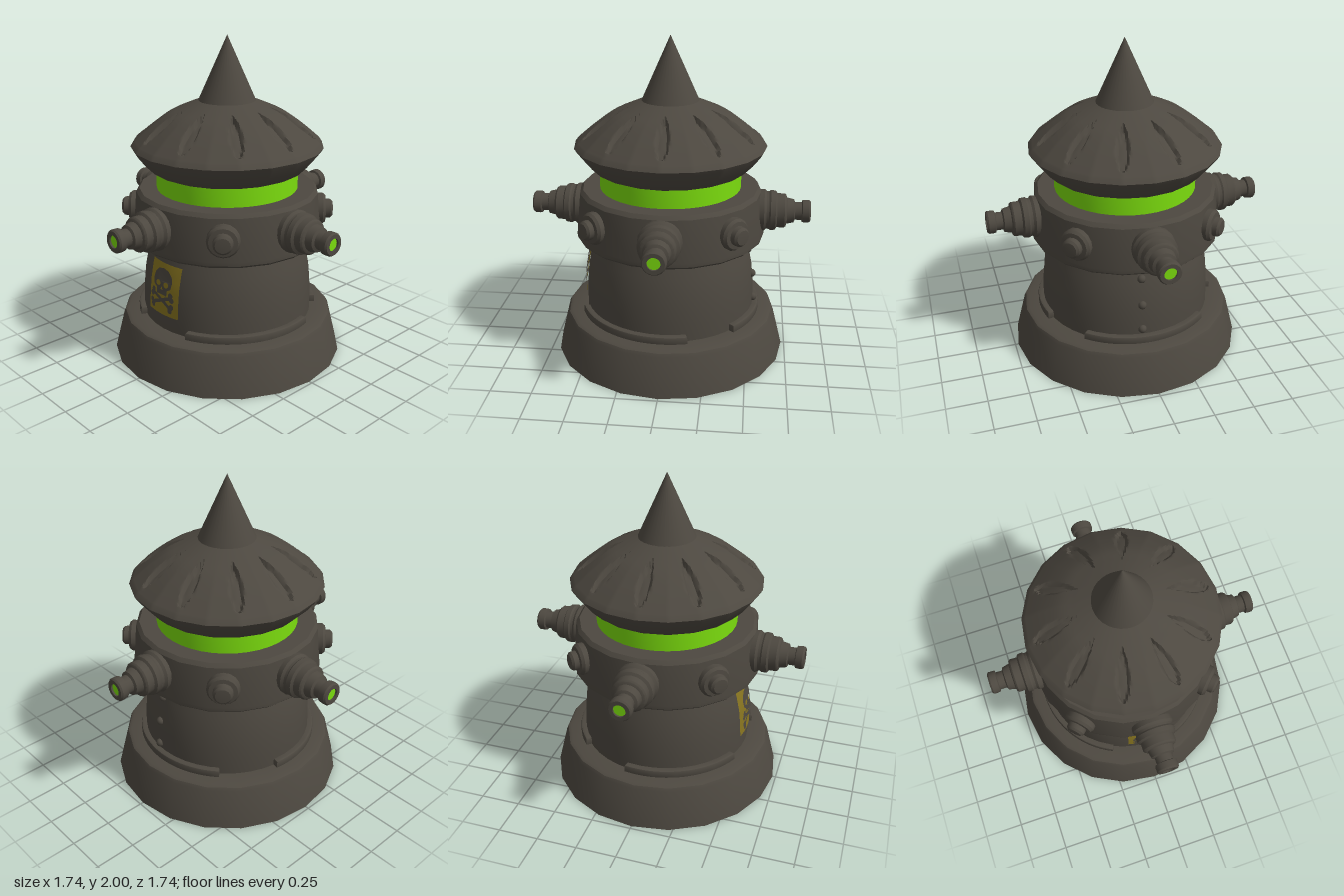
import * as THREE from 'three';
import { toCreasedNormals } from 'three/addons/utils/BufferGeometryUtils.js';

const mat = (name, color, side = THREE.FrontSide) => {
  const m = new THREE.MeshStandardMaterial({ color, side });
  m.name = name;
  return m;
};
const RAD = Math.PI / 180;
const vecs = pts => pts.map(([x, y]) => new THREE.Vector2(x, y));
const lathe = (pts, sides) => toCreasedNormals(new THREE.LatheGeometry(vecs(pts), sides), 0.6);

// Body wall: radius against height, shared by the body and everything fixed on it
const WALL = [[0.535, 0.25], [0.535, 0.37], [0.53, 0.46], [0.52, 0.56], [0.5, 0.66], [0.47, 0.77]];
function wallRadius(y) {
  for (let i = 1; i < WALL.length; i++) {
    const [r0, y0] = WALL[i - 1], [r1, y1] = WALL[i];
    if (y <= y1) return r0 + (r1 - r0) * (y - y0) / (y1 - y0);
  }
  return 0.47;
}

// Lays a flat geometry in x, y onto the front of the body wall
function wrapOnWall(geo, gap) {
  const p = geo.attributes.position;
  for (let i = 0; i < p.count; i++) {
    const x = p.getX(i), r = wallRadius(p.getY(i)) + gap;
    p.setZ(i, Math.sqrt(r * r - x * x));
  }
  geo.computeVertexNormals();
  return geo;
}

// Roof with a 20-sided outline and ten teardrop flutes pressed into the slope
function roofGeometry() {
  const slope = new THREE.SplineCurve(vecs([[0.572, 1.368], [0.47, 1.455], [0.365, 1.53], [0.27, 1.575], [0.16, 1.62]]));
  const profile = vecs([[0.4, 1.19], [0.44, 1.19], [0.475, 1.205], [0.53, 1.26], [0.575, 1.318], [0.59, 1.343]])
    .concat(slope.getPoints(30));
  const geo = new THREE.LatheGeometry(profile, 240);
  const p = geo.attributes.position;
  const step = 36 * RAD, facet = 18 * RAD;
  for (let i = 0; i < p.count; i++) {
    const x = p.getX(i), y = p.getY(i), z = p.getZ(i);
    const r = Math.hypot(x, z), a = Math.atan2(z, x);
    const off = a - Math.round(a / step) * step;
    const u = (r - 0.27) / 0.26;
    if (y > 1.37 && u > 0 && u < 1) {
      const w = 0.1 * u * Math.sqrt(1 - u);
      const d = 1 - (r * off / w) ** 2;
      if (d > 0) p.setY(i, y - 0.035 * Math.min(1, 1.6 * d));
    }
    const f = a - (Math.floor(a / facet) + 0.5) * facet;
    const k = 1 + (Math.cos(facet / 2) / Math.cos(f) - 1) * THREE.MathUtils.clamp((r - 0.2) / 0.3, 0, 1);
    p.setX(i, x * k);
    p.setZ(i, z * k);
  }
  return toCreasedNormals(geo, 0.7);
}

// Curved foot clamp between two angles measured from the front
function clampGeometry(from, to) {
  const a = (from - 90) * RAD, b = (to - 90) * RAD;
  const s = new THREE.Shape();
  s.absarc(0, 0, 0.56, a, b, false);
  s.absarc(0, 0, 0.5, b, a, true);
  const geo = new THREE.ExtrudeGeometry(s, {
    depth: 0.045, curveSegments: 10, bevelThickness: 0.01, bevelSize: 0.01, bevelSegments: 2
  });
  geo.rotateX(-Math.PI / 2).translate(0, 0.26, 0);
  return toCreasedNormals(geo, 0.6);
}

// Skull and crossed bones as flat shapes
function skullShapes() {
  const head = new THREE.Shape(vecs([
    [-0.045, 0.5], [0.045, 0.5], [0.047, 0.535], [0.075, 0.55], [0.083, 0.59], [0.075, 0.625], [0.045, 0.655],
    [0, 0.664], [-0.045, 0.655], [-0.075, 0.625], [-0.083, 0.59], [-0.075, 0.55], [-0.047, 0.535]]));
  for (const s of [-1, 1]) {
    const eye = new THREE.Path();
    eye.absellipse(s * 0.035, 0.567, 0.021, 0.017, 0, Math.PI * 2, true);
    head.holes.push(eye);
  }
  head.holes.push(new THREE.Path(vecs([[0, 0.553], [0.01, 0.532], [-0.01, 0.532]])));
  const shapes = [head];
  for (const s of [-1, 1]) {
    // one bone: a bar with two knobs at each end
    const turn = ([x, y]) => [x * 0.92 - s * y * 0.39, s * x * 0.39 + y * 0.92 + 0.463];
    shapes.push(new THREE.Shape(vecs([[-0.085, -0.011], [0.085, -0.011], [0.085, 0.011], [-0.085, 0.011]].map(turn))));
    for (const ex of [-0.09, 0.09]) for (const ey of [-0.014, 0.014]) {
      const [kx, ky] = turn([ex, ey]);
      const knob = new THREE.Shape();
      knob.absarc(kx, ky, 0.018, 0, Math.PI * 2, false);
      shapes.push(knob);
    }
  }
  return shapes;
}

export function createModel() {
  const model = new THREE.Group();
  const metal = mat('dark metal', 0x4d4840, THREE.DoubleSide);
  const green = mat('glowing green', 0x7bdc0e);
  const yellow = mat('warning yellow', 0x887520);
  const add = (name, geo, material, parent = model) => {
    const m = new THREE.Mesh(geo, material);
    m.name = name;
    parent.add(m);
    return m;
  };

  // Main stack, bottom to top
  add('base', lathe([[0.73, 0], [0.67, 0.24], [0.66, 0.26], [0.64, 0.27], [0.52, 0.27]], 20), metal);
  add('body', lathe(WALL, 40), metal);
  add('collar', lathe([[0.44, 0.76], [0.572, 0.76], [0.588, 0.775], [0.59, 0.8], [0.565, 1.055], [0.545, 1.078], [0.42, 1.078]], 20), metal);
  add('glowBand', lathe([[0.438, 1.06], [0.438, 1.22]], 40), green);
  add('roof', roofGeometry(), metal);
  add('spike', lathe([[0.175, 1.612], [0.001, 2]], 32), metal);

  // Foot clamps
  for (const [from, to] of [[22, 105], [139, 221], [261, 334]]) {
    add('footClamp', clampGeometry(from, to), metal);
  }

  // Four stepped nozzles with a glowing bore
  const nozzleGeo = lathe([
    [0.125, 0.52], [0.13, 0.585], [0.118, 0.6], [0.118, 0.615], [0.125, 0.625], [0.122, 0.655], [0.106, 0.665],
    [0.106, 0.71], [0.098, 0.72], [0.082, 0.725], [0.072, 0.768], [0.055, 0.775], [0.055, 0.815], [0.068, 0.82],
    [0.07, 0.835], [0.07, 0.86], [0.062, 0.87], [0.038, 0.87], [0.038, 0.84]], 20);
  nozzleGeo.rotateX(Math.PI / 2);
  const boreGeo = new THREE.CircleGeometry(0.039, 20).translate(0, 0, 0.858);
  // Four bolts between the nozzles
  const boltGeo = lathe([
    [0.098, 0.5], [0.098, 0.595], [0.085, 0.612], [0.06, 0.615], [0.058, 0.645], [0.045, 0.658], [0.0005, 0.662]], 16);
  boltGeo.rotateX(Math.PI / 2);
  for (let i = 0; i < 4; i++) {
    const nozzle = new THREE.Group();
    nozzle.name = 'nozzle';
    nozzle.position.y = 0.93;
    nozzle.rotation.y = i * Math.PI / 2;
    add('nozzleBarrel', nozzleGeo, metal, nozzle);
    add('nozzleGlow', boreGeo, green, nozzle);
    model.add(nozzle);
    const bolt = add('collarBolt', boltGeo, metal);
    bolt.position.y = 0.93;
    bolt.rotation.y = (i + 0.5) * Math.PI / 2;
  }

  // Column of rivets down the back
  const rivetGeo = new THREE.SphereGeometry(0.026, 12, 8);
  for (const y of [0.35, 0.515, 0.68]) {
    const a = 175 * RAD, r = wallRadius(y);
    add('rivet', rivetGeo, metal).position.set(r * Math.sin(a), y, r * Math.cos(a));
  }

  // Warning plate on the front
  const plate = new THREE.PlaneGeometry(0.265, 0.32, 10, 10).translate(0, 0.53, 0);
  add('warningPlate', wrapOnWall(plate, 0.008), yellow);
  add('warningSkull', wrapOnWall(new THREE.ShapeGeometry(skullShapes(), 8), 0.017), metal);

  return model;
}
